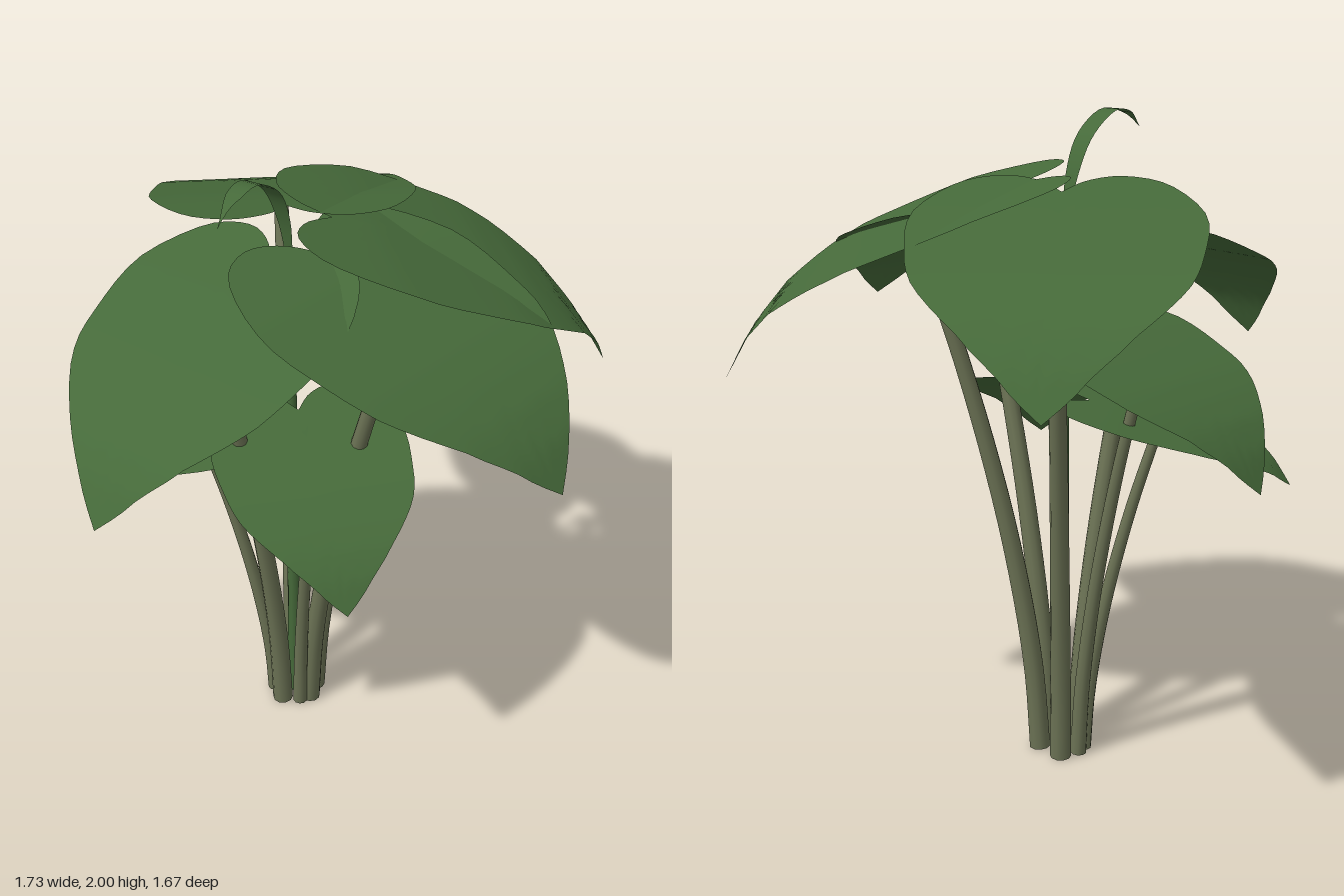
import * as THREE from 'three';

const leafGreen = new THREE.MeshStandardMaterial({ color: 0x466a3a, side: THREE.DoubleSide });
leafGreen.name = 'leaf green';
const stalkOlive = new THREE.MeshStandardMaterial({ color: 0x6c7355 });
stalkOlive.name = 'stalk olive';

const CX = -0.115, CZ = -0.025; // centre of the clump

// Half outline of the heart shape: (distance along, half width), notch to tip
const outline = new THREE.SplineCurve([
  [0.12, 0], [0.03, 0.07], [-0.01, 0.18], [0.06, 0.31], [0.28, 0.41],
  [0.5, 0.4], [0.67, 0.355], [0.83, 0.23], [0.94, 0.1], [1, 0],
].map(([s, w]) => new THREE.Vector2(s, w)));

// Droop of the blade, 0 at the base to 1 at the tip
const droopKeys = [[-0.1, -0.04], [0, 0], [0.25, 0.12], [0.45, 0.25], [0.6, 0.35], [0.72, 0.46], [0.83, 0.59], [0.92, 0.76], [1, 1]];
function droop(s) {
  let i = 1;
  while (i < droopKeys.length - 1 && s > droopKeys[i][0]) i++;
  const [s0, d0] = droopKeys[i - 1], [s1, d1] = droopKeys[i];
  return d0 + (d1 - d0) * (s - s0) / (s1 - s0);
}

// Triangulated grid from a rule point(column, row)
function gridGeometry(cols, rows, point) {
  const pos = [], index = [];
  for (let j = 0; j <= rows; j++) {
    for (let i = 0; i <= cols; i++) {
      pos.push(...point(i / cols, j / rows));
      if (i < cols && j < rows) {
        const a = j * (cols + 1) + i, b = a + cols + 1;
        index.push(a, a + 1, b, a + 1, b + 1, b);
      }
    }
  }
  const g = new THREE.BufferGeometry();
  g.setAttribute('position', new THREE.Float32BufferAttribute(pos, 3));
  g.setIndex(index);
  g.computeVertexNormals();
  return g;
}

// Heart-shaped blade growing along +x, bent downwards
function bladeGeometry({ length, width, drop, base }) {
  return gridGeometry(12, 32, (u, v) => {
    const side = u * 2 - 1, k = Math.abs(side);
    const edge = outline.getPoint(v);
    const mid = 0.12 + 0.88 * Math.pow(v, 1.2);
    const s = mid + (edge.x - mid) * k;
    return [s * length, base - drop * droop(s), -side * edge.y * width];
  });
}

// Tapered round stalk along a curve
function stalkGeometry(curve, r0, r1) {
  const rows = 20, sides = 10;
  const g = new THREE.TubeGeometry(curve, rows, 1, sides, false);
  const p = g.attributes.position;
  for (let j = 0; j <= rows; j++) {
    const c = curve.getPointAt(j / rows), r = r0 + (r1 - r0) * j / rows;
    for (let i = 0; i <= sides; i++) {
      const n = j * (sides + 1) + i;
      p.setXYZ(n, c.x + (p.getX(n) - c.x) * r, c.y + (p.getY(n) - c.y) * r, c.z + (p.getZ(n) - c.z) * r);
    }
  }
  return g;
}

function add(parent, name, geometry, material) {
  const m = new THREE.Mesh(geometry, material);
  m.name = name;
  parent.add(m);
  return m;
}

// Stalk and blade together, turned towards the tip
function makeLeaf(spec) {
  const leaf = new THREE.Group();
  leaf.name = spec.name;
  const reach = spec.length * 0.43;
  const top = spec.base - spec.drop * droop(0.43) - 0.012;
  const points = [0, 0.15, 0.3, 0.5, 0.75, 1].map(
    t => new THREE.Vector3(0.07 + (reach - 0.07) * Math.pow(t, 1.6), top * t, 0));
  const curve = new THREE.CatmullRomCurve3(points);
  add(leaf, spec.name + 'Stalk', stalkGeometry(curve, spec.radius, spec.radius * 0.65), stalkOlive);
  for (const [x, y, r, turn] of [[0.07, 0.001, spec.radius, Math.PI / 2], [reach, top, spec.radius * 0.65, -Math.PI / 2]]) {
    const cap = add(leaf, spec.name + 'StalkEnd', new THREE.CircleGeometry(r, 10), stalkOlive);
    cap.position.set(x, y, 0);
    cap.rotation.x = turn;
  }
  add(leaf, spec.name + 'Blade', bladeGeometry(spec), leafGreen);
  leaf.position.set(CX, 0, CZ);
  leaf.rotation.y = -Math.atan2(spec.dir[1], spec.dir[0]);
  return leaf;
}

export function createModel() {
  const plant = new THREE.Group();
  plant.name = 'pottedLeafPlant';

  // dir is the heading of the tip as (x, z)
  const leaves = [
    { name: 'backRightLeaf', dir: [-0.7, -0.69], length: 0.985, width: 0.98, base: 1.82, drop: 0.45, radius: 0.034 },
    { name: 'backLeftLeaf', dir: [0.62, -0.78], length: 1.0, width: 1.04, base: 1.84, drop: 0.61, radius: 0.034 },
    { name: 'leftLeaf', dir: [0.99, 0.025], length: 0.99, width: 1.02, base: 1.77, drop: 0.45, radius: 0.034 },
    { name: 'frontLeaf', dir: [0.045, 0.87], length: 0.87, width: 0.92, base: 1.74, drop: 0.52, radius: 0.034 },
    { name: 'lowerRightLeaf', dir: [-0.715, 0.09], length: 0.72, width: 0.76, base: 1.44, drop: 0.42, radius: 0.026 },
    { name: 'lowerFrontRightLeaf', dir: [-0.525, 0.44], length: 0.685, width: 0.66, base: 1.17, drop: 0.25, radius: 0.025 },
    { name: 'lowerFrontLeftLeaf', dir: [0.53, 0.37], length: 0.65, width: 0.72, base: 1.23, drop: 0.37, radius: 0.025 },
  ];
  for (const spec of leaves) plant.add(makeLeaf(spec));

  // Young shoot in the middle with a narrow curled blade
  const shoot = new THREE.Group();
  shoot.name = 'youngShoot';
  const stem = new THREE.LineCurve3(new THREE.Vector3(CX, 0, CZ), new THREE.Vector3(CX, 1.72, -0.02));
  add(shoot, 'youngStem', stalkGeometry(stem, 0.025, 0.012), leafGreen);
  const curl = new THREE.CatmullRomCurve3([
    [CX, 1.68, -0.02], [CX, 1.82, 0.005], [-0.11, 1.93, 0.06], [-0.095, 1.997, 0.17], [-0.08, 1.98, 0.26], [-0.062, 1.93, 0.33],
  ].map(p => new THREE.Vector3(...p)));
  add(shoot, 'youngBlade', gridGeometry(4, 24, (u, v) => {
    const c = curl.getPoint(v);
    const half = 0.01 + 0.02 * Math.sin(Math.PI * v);
    const side = (u * 2 - 1) * half * Math.min(1, (1 - v) * 4);
    return [c.x + side, c.y, c.z - side * 0.2];
  }), leafGreen);
  plant.add(shoot);

  return plant;
}
